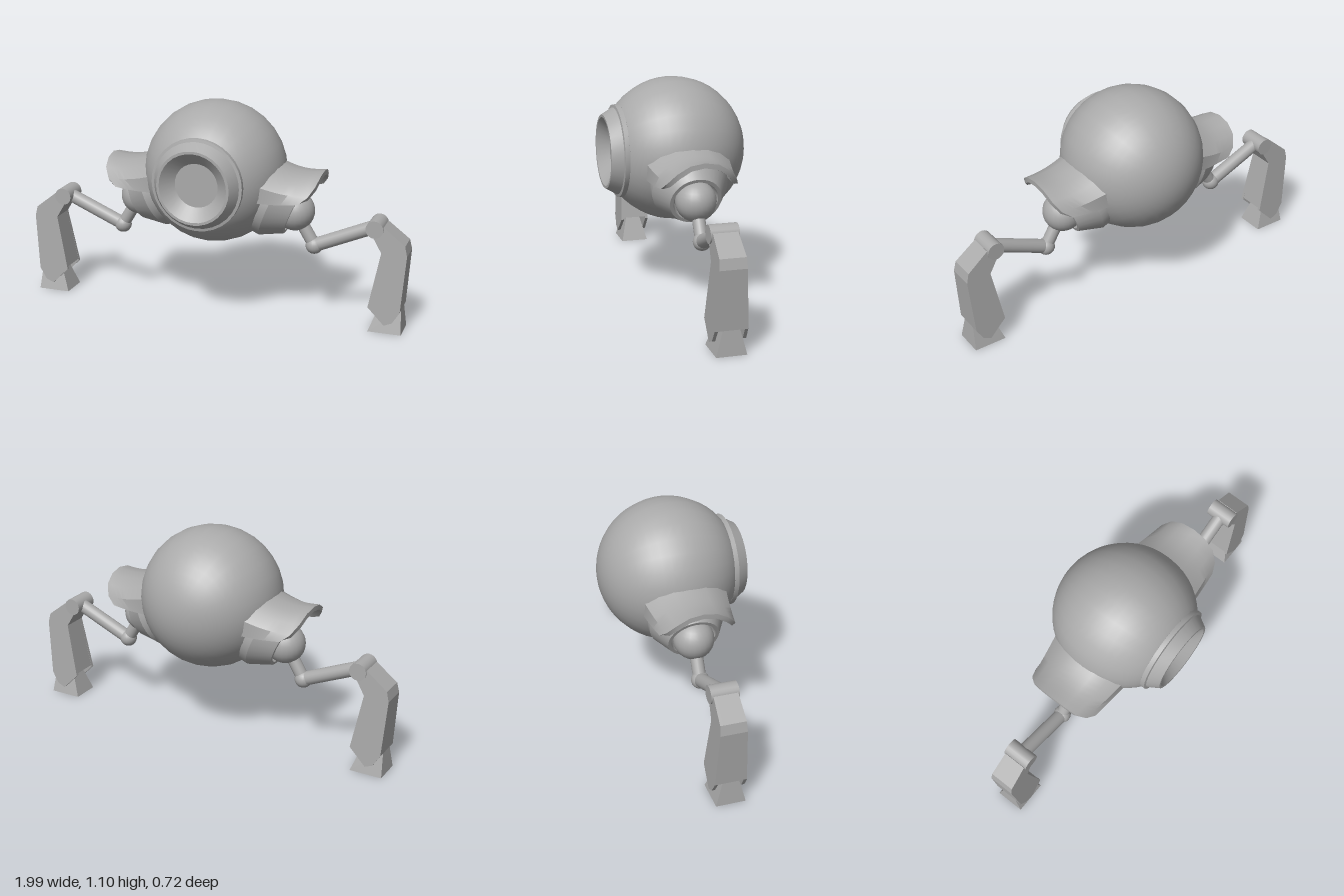
import * as THREE from 'three';
import { toCreasedNormals } from 'three/addons/utils/BufferGeometryUtils.js';

const grey = new THREE.MeshStandardMaterial({ color: 0xaaaaaa });
grey.name = 'plain grey';
grey.side = THREE.DoubleSide;

const CENTRE_Y = 0.738;
const RADIUS = 0.36;
const TILT = Math.PI / 8; // downward slope of the shoulder axis

function add(parent, name, geometry, x = 0, y = 0, z = 0) {
  const mesh = new THREE.Mesh(geometry, grey);
  mesh.name = name;
  mesh.position.set(x, y, z);
  parent.add(mesh);
  return mesh;
}

// Turned part with crisp rims, from [radius, height] pairs
function turned(points, segments = 32) {
  const profile = points.map(([r, h]) => new THREE.Vector2(r, h));
  return toCreasedNormals(new THREE.LatheGeometry(profile, segments), 0.4);
}

// Round rod between two points in the xy plane
function rod(parent, name, [x1, y1], [x2, y2], radius) {
  const length = Math.hypot(x2 - x1, y2 - y1);
  const mesh = add(parent, name, new THREE.CylinderGeometry(radius, radius, length, 20),
    (x1 + x2) / 2, (y1 + y2) / 2);
  mesh.rotation.z = Math.atan2(y2 - y1, x2 - x1) - Math.PI / 2;
}

// Arched shoulder shield, lofted from the body to its upturned outer lip
function shieldGeometry() {
  const inner = [[0.31, 0.82, 0], [0.31, 0.81, 0.08], [0.3, 0.78, 0.15], [0.27, 0.735, 0.21], [0.255, 0.65, 0.21]];
  const outer = [[0.563, 0.787, 0], [0.56, 0.775, 0.07], [0.55, 0.738, 0.13], [0.52, 0.69, 0.17], [0.475, 0.655, 0.19]];
  const steps = 8, ring = 18, pos = [], index = [];
  for (let s = 0; s <= steps; s++) {
    const v = s / steps;
    for (let k = 0; k < ring; k++) {
      const under = k > 8;
      const i = 4 - (under ? 17 - k : k); // 4 at the front, -4 at the back
      const a = inner[Math.abs(i)], b = outer[Math.abs(i)];
      const sag = 0.025 * Math.sin(Math.PI * v) * (1 - Math.abs(i) / 5);
      const p = a.map((c, n) => c + (b[n] - c) * v);
      const thin = under ? 0.024 * (1 - (i / 4) ** 4) : 0;
      pos.push(p[0], p[1] - sag - thin, p[2] * Math.sign(i) * (under ? 0.91 : 1));
    }
  }
  for (let s = 0; s < steps; s++) {
    for (let k = 0; k < ring; k++) {
      const a = s * ring + k, b = s * ring + (k + 1) % ring;
      index.push(a, a + ring, b, b, a + ring, b + ring);
    }
  }
  // Outer lip
  const end = steps * ring;
  for (let k = 0; k < 8; k++) {
    const o = end + k, n = end + 17 - k;
    index.push(o, n, o + 1, o + 1, n, n - 1);
  }
  const geometry = new THREE.BufferGeometry();
  geometry.setAttribute('position', new THREE.Float32BufferAttribute(pos, 3));
  geometry.setIndex(index);
  return toCreasedNormals(geometry, 0.6);
}

// Shin slab between two depth fractions, widening in z towards the ground
function shinGeometry(points, from, to) {
  const shape = new THREE.Shape(points.map(([x, y]) => new THREE.Vector2(x, y)));
  const geometry = new THREE.ExtrudeGeometry(shape, { depth: to - from, bevelEnabled: false });
  geometry.translate(0, 0, from);
  const p = geometry.attributes.position;
  for (let i = 0; i < p.count; i++) p.setZ(i, p.getZ(i) * (0.084 - 0.045 * p.getY(i)));
  geometry.computeVertexNormals();
  return geometry;
}

// Foot block, narrower at the top
function footGeometry() {
  const geometry = new THREE.BoxGeometry(1, 0.125, 1);
  const p = geometry.attributes.position;
  for (let i = 0; i < p.count; i++) {
    const top = p.getY(i) > 0, out = p.getX(i) > 0;
    p.setX(i, top ? (out ? 0.975 : 0.865) : (out ? 0.985 : 0.818));
    p.setZ(i, Math.sign(p.getZ(i)) * (top ? 0.04 : 0.073));
  }
  geometry.translate(0, 0.0625, 0);
  geometry.computeVertexNormals();
  return geometry;
}

function createLimb() {
  const limb = new THREE.Group();
  const shoulder = [0.415, 0.566], elbow = [0.518, 0.395], wrist = [0.832, 0.53];

  // Shoulder: tilted socket, ball and shield
  const socket = add(limb, 'shoulderSocket', turned([
    [0.19, 0.26], [0.19, 0.344], [0.128, 0.45], [0.111, 0.45], [0.1, 0.39],
  ]), 0, CENTRE_Y);
  socket.rotation.z = -(Math.PI / 2 + TILT);
  add(limb, 'shoulderBall', new THREE.SphereGeometry(0.1, 24, 16), ...shoulder);
  add(limb, 'shoulderShield', shieldGeometry());

  // Arm rods and joints
  rod(limb, 'upperArm', shoulder, elbow, 0.032);
  add(limb, 'elbow', new THREE.SphereGeometry(0.044, 20, 14), ...elbow);
  rod(limb, 'forearm', elbow, wrist, 0.035);
  const hinge = new THREE.CylinderGeometry(0.044, 0.044, 0.136, 20).rotateX(Math.PI / 2);
  add(limb, 'wristHinge', hinge, ...wrist);

  // Shin: core with a longer pointed plate on each side
  const upper = [[0.87, 0.414], [0.828, 0.485], [0.876, 0.545], [0.985, 0.46], [0.997, 0.41], [0.976, 0.12]].reverse();
  add(limb, 'shinCore', shinGeometry([...upper, [0.818, 0.14]], -0.8, 0.8));
  const plate = [...upper, [0.815, 0.13], [0.9, 0.045], [0.94, 0.062]];
  add(limb, 'shinPlateFront', shinGeometry(plate, 0.8, 1));
  add(limb, 'shinPlateBack', shinGeometry(plate, -1, -0.8));
  add(limb, 'foot', footGeometry());
  return limb;
}

export function createModel() {
  const model = new THREE.Group();
  model.name = 'roundRobot';

  // Round body, open at the front behind the eye collar
  const cut = 0.66;
  const shell = new THREE.SphereGeometry(RADIUS, 28, 20, 0, Math.PI * 2, cut, Math.PI - cut);
  add(model, 'body', shell.rotateX(Math.PI / 2), 0, CENTRE_Y);

  // Eye collar with a funnel leading to a flat lens
  add(model, 'eyeCollar', turned([
    [0.215, 0.265], [0.232, 0.275], [0.232, 0.298], [0.218, 0.301],
    [0.185, 0.357], [0.172, 0.357], [0.11, 0.3],
  ]).rotateX(Math.PI / 2), 0, CENTRE_Y);
  add(model, 'eyeLens', new THREE.CircleGeometry(0.112, 32), 0, CENTRE_Y, 0.3);

  // Limbs are symmetric front to back, so a half turn mirrors them
  for (const side of ['left', 'right']) {
    const limb = createLimb();
    limb.name = side + 'Limb';
    if (side === 'right') limb.rotation.y = Math.PI;
    model.add(limb);
  }
  return model;
}
